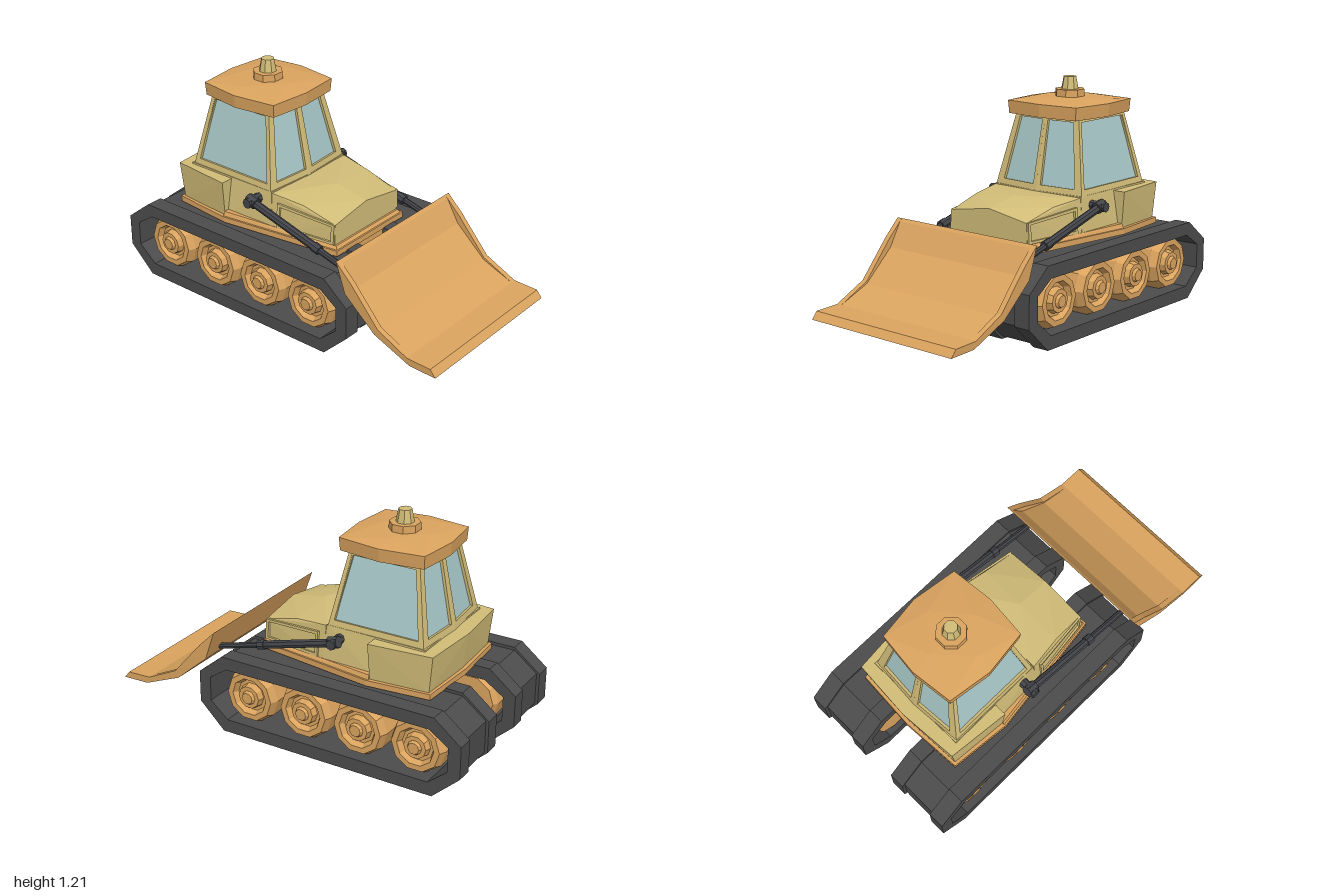
import * as THREE from 'three';
import { ConvexGeometry } from 'three/addons/geometries/ConvexGeometry.js';

const material = (color, side = THREE.FrontSide) =>
  new THREE.MeshStandardMaterial({ color, flatShading: true, side });

export function createModel() {
  const model = new THREE.Group();
  const orange = material(0xdba45f);
  const yellow = material(0xd2bd78);
  const dark = material(0x4c4c4c);
  const steel = material(0x44454a);
  const glass = material(0xa9c9c9, THREE.DoubleSide);

  const add = (name, geometry, mat) => {
    const mesh = new THREE.Mesh(geometry, mat);
    mesh.name = name;
    model.add(mesh);
    return mesh;
  };

  // Convex solid from points on the +x side, mirrored to -x
  const hull = (name, points, mat) => {
    const all = [];
    for (const [x, y, z] of points) {
      all.push(new THREE.Vector3(x, y, z));
      if (x > 0) all.push(new THREE.Vector3(-x, y, z));
    }
    return add(name, new ConvexGeometry(all), mat);
  };

  // Extrude a [z, y] outline along x from x0 to x1
  const toPoints = (list) => list.map(([a, b]) => new THREE.Vector2(a, b));
  const extrudeX = (name, outline, x0, x1, mat, hole) => {
    const shape = new THREE.Shape(toPoints(outline));
    if (hole) shape.holes.push(new THREE.Path(toPoints(hole)));
    const g = new THREE.ExtrudeGeometry(shape, { depth: x1 - x0, bevelEnabled: false });
    g.rotateY(-Math.PI / 2).translate(x1, 0, 0);
    return add(name, g, mat);
  };

  // Slanted four-cornered frame with one opening, optionally glazed.
  // Corners run bottom left, bottom right, top right, top left from outside.
  const frame = (name, corners, [u0, u1, v0, v1], depth, pane) => {
    const [bl, br, tr, tl] = corners.map((c) => new THREE.Vector3(...c));
    const u = br.clone().sub(bl).normalize();
    const n = u.clone().cross(tl.clone().sub(bl)).normalize();
    const v = n.clone().cross(u);
    const flat = (p) => {
      const d = p.clone().sub(bl);
      return new THREE.Vector2(d.dot(u), d.dot(v));
    };
    const at = (s, t) => flat(bl.clone().lerp(br, s).lerp(tl.clone().lerp(tr, s), t));
    const opening = [at(u0, v0), at(u1, v0), at(u1, v1), at(u0, v1)];
    const shape = new THREE.Shape([bl, br, tr, tl].map(flat));
    shape.holes.push(new THREE.Path(opening));
    const place = new THREE.Matrix4().makeBasis(u, v, n).setPosition(bl);
    const g = new THREE.ExtrudeGeometry(shape, { depth, bevelEnabled: false });
    add(name, g.translate(0, 0, -depth).applyMatrix4(place), yellow);
    if (pane) {
      const w = new THREE.ShapeGeometry(new THREE.Shape(opening));
      add(pane, w.translate(0, 0, -depth * 0.6).applyMatrix4(place), glass);
    }
  };

  // The same frame on both sides of the machine
  const framePair = (name, corners, [u0, u1, v0, v1], depth, pane) => {
    frame(name, corners, [u0, u1, v0, v1], depth, pane);
    const [bl, br, tr, tl] = corners.map(([x, y, z]) => [-x, y, z]);
    frame(name, [br, bl, tl, tr], [1 - u1, 1 - u0, v0, v1], depth, pane);
  };

  // Tracks: two raised edge bands and a slightly sunken centre band
  const loop = (d) => [
    [0.345, d], [0.485 - d, 0.135], [0.485 - d, 0.305], [0.345, 0.42 - d],
    [-0.855, 0.42 - d], [-1 + d, 0.305], [-1 + d, 0.135], [-0.855, d],
  ];
  const inner = [
    [0.32, 0.07], [0.42, 0.155], [0.42, 0.285], [0.32, 0.353],
    [-0.83, 0.353], [-0.933, 0.285], [-0.933, 0.155], [-0.83, 0.07],
  ];
  const bands = [[0.105, 0.19, 0], [0.19, 0.39, 0.016], [0.39, 0.48, 0]];

  // Road wheel turned around its axle, [radius, distance from centre line]
  const wheelProfile = toPoints([
    [0, 0.13], [0.13, 0.13], [0.147, 0.16], [0.147, 0.4], [0.13, 0.44],
    [0.1, 0.44], [0.085, 0.41], [0.068, 0.41], [0.06, 0.445], [0.038, 0.445],
    [0.03, 0.46], [0, 0.46],
  ]);
  for (const s of [1, -1]) {
    for (const [a, b, d] of bands) {
      extrudeX('trackBand', loop(d), s > 0 ? a : -b, s > 0 ? b : -a, dark, inner);
    }
    for (const z of [0.21, -0.11, -0.42, -0.74]) {
      const g = new THREE.LatheGeometry(wheelProfile, 10);
      add('roadWheel', g.rotateZ(-s * Math.PI / 2).translate(0, 0.212, z), orange);
    }
  }

  // Chassis
  hull('chassis', [
    [0.2, 0.255, 0.25], [0.2, 0.255, -0.61], [0.2, 0.42, 0.25], [0.2, 0.42, -0.74],
  ], orange);
  const skirt = [[0.268, 0.255], [0.362, -0.42], [0.33, -0.755], [0, -0.775]];
  hull('skirt', [0.415, 0.445].flatMap((y) => skirt.map(([x, z]) => [x, y, z])), orange);
  hull('sideSill', [
    [0.262, 0.44, 0.25], [0.25, 0.46, 0.235], [0.355, 0.44, -0.43], [0.345, 0.468, -0.43],
  ], orange);

  // Body
  hull('hood', [
    [0.25, 0.44, 0.225], [0.245, 0.57, 0.225], [0, 0.61, 0.225],
    [0.258, 0.62, 0.035], [0, 0.645, 0.035],
    [0.285, 0.64, -0.15], [0.305, 0.44, -0.15],
  ], yellow);
  framePair('hoodSidePanel', [
    [0.262, 0.465, 0.225], [0.305, 0.465, -0.11], [0.296, 0.6, -0.11], [0.257, 0.572, 0.225],
  ], [0.05, 0.95, 0.12, 0.88], 0.018);
  hull('cabBase', [
    [0.305, 0.44, -0.14], [0.32, 0.44, -0.45], [0.32, 0.44, -0.7],
    [0.285, 0.645, -0.155], [0, 0.645, -0.14], [0.29, 0.645, -0.7],
  ], yellow);
  hull('rearBox', [
    [0.34, 0.44, -0.43], [0.358, 0.637, -0.425], [0.315, 0.44, -0.74],
    [0.325, 0.637, -0.76], [0, 0.44, -0.755], [0, 0.637, -0.783],
  ], yellow);

  // Cab walls and windows
  const low = 0.64, high = 1.03;
  framePair('frontWindowFrame', [
    [0, low, -0.14], [0.285, low, -0.16], [0.205, high, -0.234], [0, high, -0.22],
  ], [0.085, 0.84, 0.09, 0.935], 0.025, 'frontWindow');
  framePair('sideWindowFrame', [
    [0.285, low, -0.16], [0.285, low, -0.69], [0.205, high, -0.616], [0.205, high, -0.234],
  ], [0.05, 0.945, 0.09, 0.935], 0.025, 'sideWindow');
  framePair('rearWindowFrame', [
    [0.285, low, -0.69], [0, low, -0.71], [0, high, -0.63], [0.205, high, -0.616],
  ], [0.16, 0.915, 0.09, 0.935], 0.025, 'rearWindow');

  // Roof with a low crown, and the beacon
  const rim = [[0.225, -0.185], [0, -0.163], [0.257, -0.42], [0.225, -0.65], [0, -0.675]];
  hull('roof', [
    ...rim.map(([x, z]) => [x * 0.975, 1.02, -0.42 + (z + 0.42) * 0.985]),
    ...rim.map(([x, z]) => [x, 1.088, z]),
    [0.16, 1.106, -0.42], [0, 1.108, -0.28], [0, 1.108, -0.56],
  ], orange);
  add('beaconBase', new THREE.CylinderGeometry(0.078, 0.08, 0.045, 8)
    .rotateY(Math.PI / 8).translate(0, 1.122, -0.42), orange);
  add('beacon', new THREE.CylinderGeometry(0.034, 0.047, 0.07, 8)
    .rotateY(Math.PI / 8).translate(0, 1.175, -0.42), yellow);

  // Blade: curved plate with raised cheeks at both ends
  const back = [[0.405, 0.528], [0.46, 0.37], [0.64, 0.215], [0.85, 0.128], [1, 0.123]];
  extrudeX('bladePlate', [
    ...back, [0.97, 0.16], [0.835, 0.165], [0.66, 0.237], [0.49, 0.392], [0.42, 0.513],
  ], -0.46, 0.46, orange);
  const cheek = [
    [0.405, 0.528], [0.46, 0.37], [0.64, 0.215], [0.835, 0.15],
    [0.835, 0.165], [0.66, 0.25], [0.495, 0.44],
  ];
  for (const x of [-0.46, 0.43]) extrudeX('bladeCheek', cheek, x, x + 0.03, orange);

  // Hydraulic arms from the body to the back of the blade
  const rod = (name, x, start, end, radius) => {
    const a = new THREE.Vector3(x, ...start), b = new THREE.Vector3(x, ...end);
    const dir = b.clone().sub(a);
    const mesh = add(name, new THREE.CylinderGeometry(radius, radius, dir.length(), 8), steel);
    mesh.position.copy(a).add(b).multiplyScalar(0.5);
    mesh.quaternion.setFromUnitVectors(new THREE.Vector3(0, 1, 0), dir.normalize());
  };
  for (const s of [1, -1]) {
    const x = s * 0.345;
    rod('armCylinder', x, [0.592, -0.24], [0.472, 0.19], 0.022);
    rod('armCollar', x, [0.478, 0.17], [0.467, 0.21], 0.026);
    rod('armPiston', x, [0.472, 0.19], [0.4, 0.45], 0.016);
    rod('armSocket', x, [0.6, -0.26], [0.585, -0.205], 0.031);
    add('armPivot', new THREE.CylinderGeometry(0.026, 0.026, 0.1, 8)
      .rotateZ(Math.PI / 2).translate(s * 0.335, 0.592, -0.235), steel);
  }
  return model;
}
